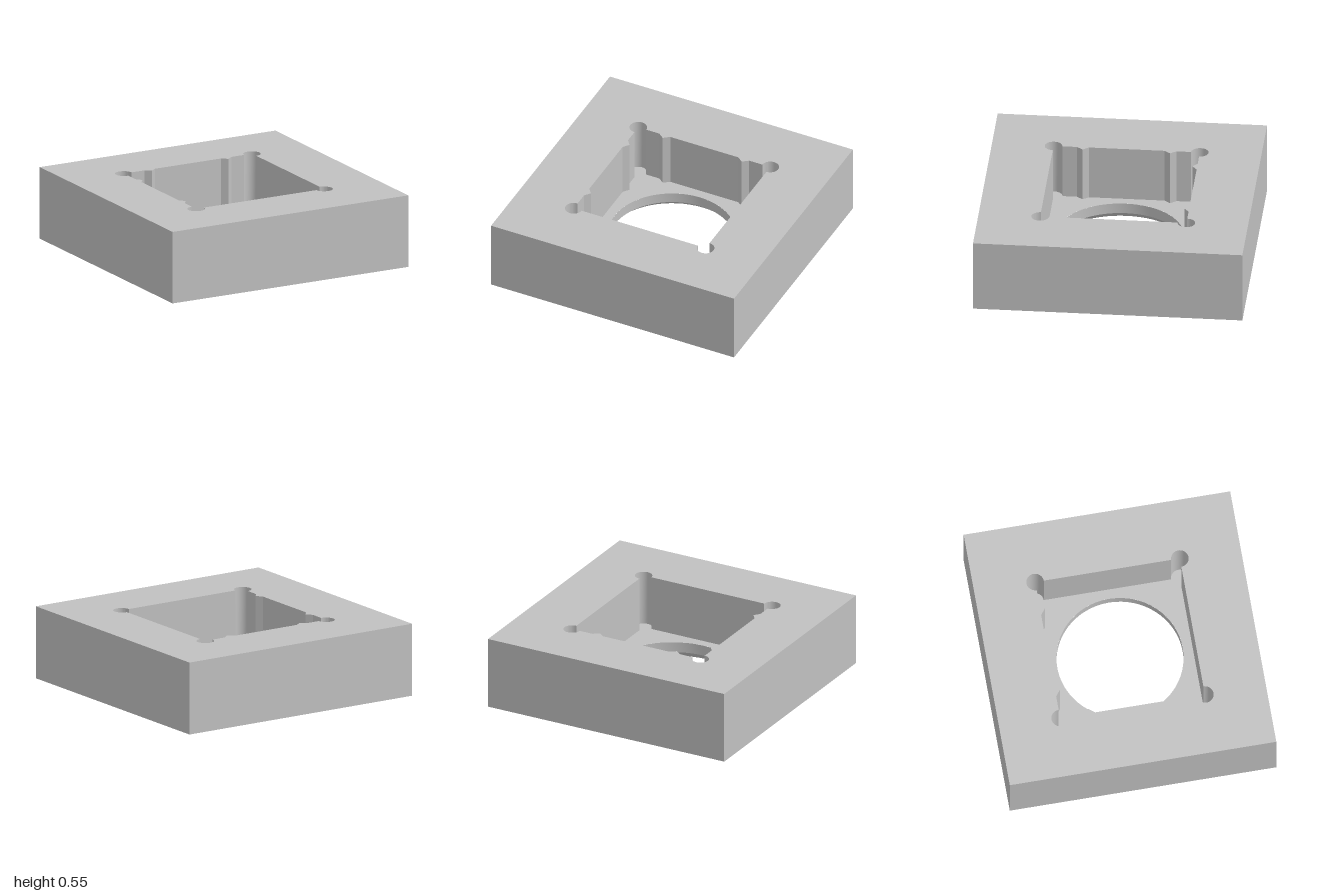
import * as THREE from 'three';
import { toCreasedNormals } from 'three/addons/utils/BufferGeometryUtils.js';

const HEIGHT = 0.55, FLOOR = 0.13, CHAMFER = 0.05;
const POCKET = 0.543, RELIEF = 0.065, BORE = 0.47;
const SEGMENTS = 64;

// Plan outlines run counter-clockwise with plan y = -z.
const squareOutline = (h) =>
  [[-h, -h], [h, -h], [h, h], [-h, h]].map(([x, y]) => new THREE.Vector2(x, y));

// Square pocket with round corner reliefs and crush ridges on two walls.
function pocketOutline() {
  const points = [];
  const origin = new THREE.Vector2();
  for (let k = 0; k < 4; k++) {
    const turn = (k * Math.PI) / 2;
    const add = (x, y) => points.push(new THREE.Vector2(x, y).rotateAround(origin, turn));
    const steps = 30;
    for (let i = 0; i <= steps; i++) {
      const a = Math.PI + (i / steps) * 1.5 * Math.PI;
      add(POCKET + RELIEF * Math.cos(a), -POCKET + RELIEF * Math.sin(a));
    }
    // back wall and right-hand wall carry the ridges
    if (k === 1 || k === 2) {
      for (const c of [-0.325, 0.325]) {
        add(POCKET, c - 0.045);
        add(POCKET - 0.035, c);
        add(POCKET, c + 0.045);
      }
    }
  }
  return points;
}

// Vertical wall along a closed outline, facing outward for counter-clockwise points.
function wallGeometry(points, y0, y1) {
  const pos = [];
  points.forEach((a, i) => {
    const b = points[(i + 1) % points.length];
    pos.push(a.x, y0, -a.y, b.x, y0, -b.y, b.x, y1, -b.y);
    pos.push(a.x, y0, -a.y, b.x, y1, -b.y, a.x, y1, -a.y);
  });
  const g = new THREE.BufferGeometry();
  g.setAttribute('position', new THREE.Float32BufferAttribute(pos, 3));
  g.computeVertexNormals();
  return toCreasedNormals(g, 0.5);
}

// Horizontal face with one hole.
function faceGeometry(outline, hole, y, up) {
  const shape = new THREE.Shape(outline);
  shape.holes.push(hole);
  return new THREE.ShapeGeometry(shape, SEGMENTS)
    .rotateX(up ? -Math.PI / 2 : Math.PI / 2)
    .translate(0, y, 0);
}

const circle = (r) => new THREE.Path().absarc(0, 0, r, 0, Math.PI * 2, true);

export function createModel() {
  const model = new THREE.Group();
  model.name = 'pocketedBlock';
  const grey = new THREE.MeshStandardMaterial({ color: 0xc0c0c0 });
  grey.name = 'grey';

  const add = (name, geometry) => {
    const mesh = new THREE.Mesh(geometry, grey);
    mesh.name = name;
    model.add(mesh);
  };

  const block = squareOutline(1);
  const pocket = pocketOutline();

  // Block exterior
  add('outerWalls', wallGeometry(block, 0, HEIGHT));
  add('topFace', faceGeometry(block, new THREE.Path(pocket), HEIGHT, true));
  add('bottomFace', faceGeometry(block, circle(BORE + CHAMFER), 0, false));

  // Pocket
  add('pocketWalls', wallGeometry([...pocket].reverse(), FLOOR, HEIGHT));
  add('pocketFloor', faceGeometry(pocket, circle(BORE), FLOOR, true));

  // Through bore with a chamfered lower rim
  const profile = [[BORE, FLOOR], [BORE, CHAMFER], [BORE + CHAMFER, 0]]
    .map(([r, y]) => new THREE.Vector2(r, y));
  add('chamferedBore', toCreasedNormals(new THREE.LatheGeometry(profile, SEGMENTS), 0.5));

  return model;
}
